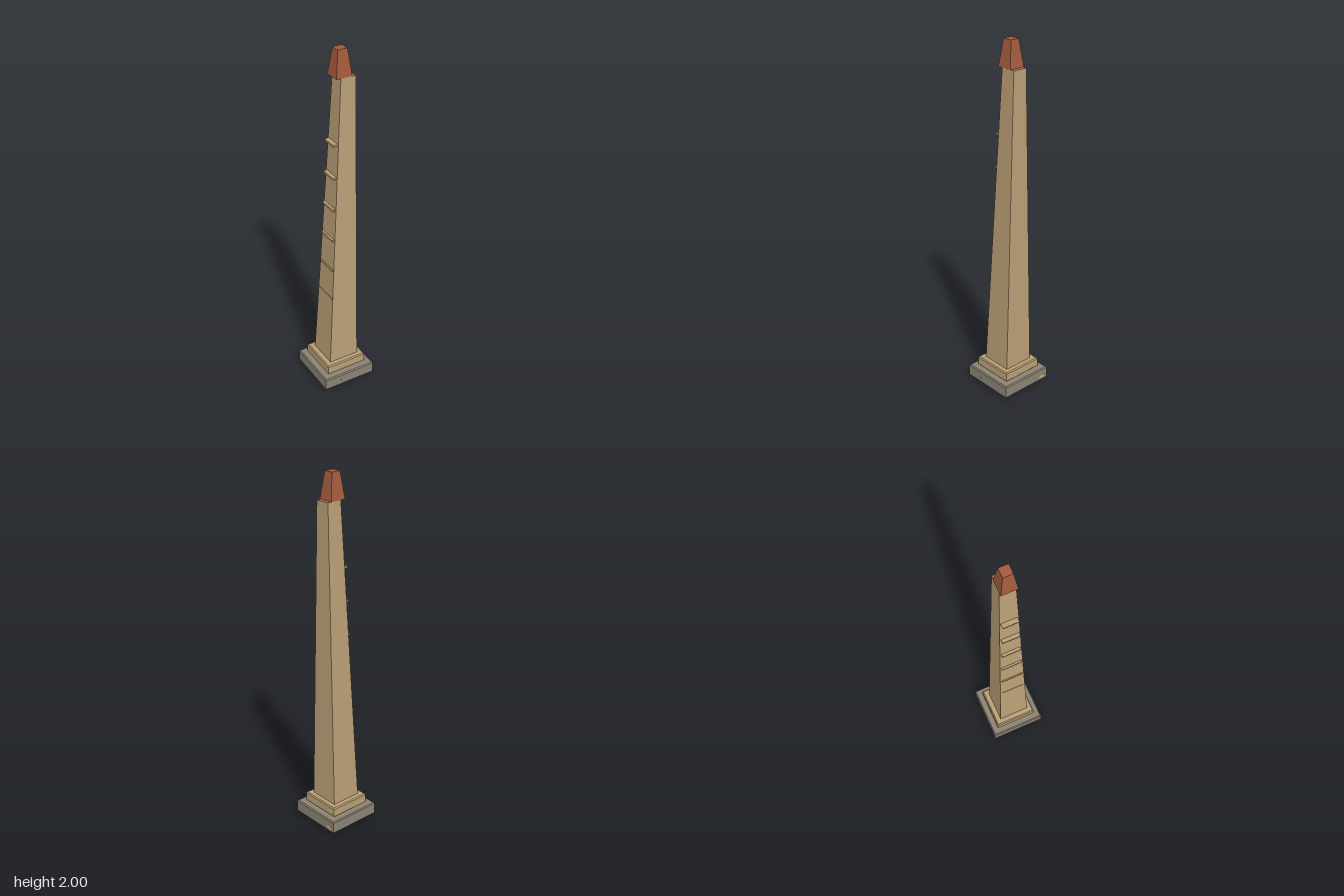
import * as THREE from 'three';

const mat = (name, color) => new THREE.MeshStandardMaterial({ name, color });

// Stack of rectangular rings [y, x0, x1, z0, z1], flat-faced and closed at both ends
function ringSolid(rings) {
  const pos = [];
  const corners = ([y, x0, x1, z0, z1]) => [[x0, y, z1], [x1, y, z1], [x1, y, z0], [x0, y, z0]];
  const quad = (a, b, c, d) => pos.push(...a, ...b, ...c, ...a, ...c, ...d);
  for (let r = 0; r < rings.length - 1; r++) {
    const lo = corners(rings[r]), hi = corners(rings[r + 1]);
    for (let i = 0; i < 4; i++) {
      const j = (i + 1) % 4;
      quad(lo[i], lo[j], hi[j], hi[i]);
    }
  }
  const [a, b, c, d] = corners(rings[0]);
  quad(d, c, b, a);
  const sides = pos.length / 3;
  quad(...corners(rings[rings.length - 1]));
  const geo = new THREE.BufferGeometry();
  geo.setAttribute('position', new THREE.Float32BufferAttribute(pos, 3));
  geo.computeVertexNormals();
  geo.addGroup(0, sides, 0);
  geo.addGroup(sides, 6, 1); // top face
  return geo;
}

// Square block with small chamfers along top and bottom
function slab(y0, y1, lo, hi, c) {
  const ring = (y, s) => [y, lo + s, hi - s, lo + s, hi - s];
  return ringSolid([ring(y0, c), ring(y0 + c, 0), ring(y1 - c, 0), ring(y1, c)]);
}

export function createModel() {
  const group = new THREE.Group();
  const sand = mat('sandstone', 0xb99e75);
  const grey = mat('grey stone', 0x8a8272);
  const red = mat('red clay', 0xa15a3c);
  const salmon = mat('pale clay', 0xaa7156);

  const add = (name, geo, material) => {
    const mesh = new THREE.Mesh(geo, material);
    mesh.name = name;
    group.add(mesh);
    return mesh;
  };

  // Stepped base
  add('footing', slab(0.012, 0.086, -0.16, 0.155, 0.006), [grey, grey]);
  add('plinth', slab(0.086, 0.143, -0.123, 0.118, 0.006), [sand, sand]);

  // Shaft: upright on the left side, leaning in on the other three
  add('shaft', ringSolid([
    [0.14, -0.091, 0.087, -0.09, 0.087],
    [1.856, 0.002, 0.087, -0.044, 0.04],
  ]), [sand, salmon]);

  // Offset cap
  add('cap', ringSolid([
    [1.857, -0.024, 0.066, -0.047, 0.042],
    [2.0, -0.006, 0.048, -0.029, 0.024],
  ]), [red, red]);

  // Ledges climbing the sloping side
  for (let i = 0; i < 6; i++) {
    const outer = -0.069 + i * 0.0053;
    const inner = -0.055 + i * 0.0101;
    const ledge = add('ledge', new THREE.BoxGeometry(inner - outer, 0.011, 0.134 - i * 0.0088), sand);
    ledge.position.set((outer + inner) / 2, 0.57 + i * 0.186, -0.002);
  }

  // Small stone fragments lodged in the footing
  const chip = (x, y, z, w, h, d, material) => {
    const geo = new THREE.DodecahedronGeometry(0.5).scale(w, h, d);
    add('stoneChip', geo, material).position.set(x, y, z);
  };
  chip(0.152, 0.033, -0.122, 0.014, 0.03, 0.055, sand);
  chip(-0.058, 0.045, 0.153, 0.01, 0.04, 0.008, grey);
  chip(-0.06, 0.01, 0.125, 0.06, 0.021, 0.025, sand);
  chip(0.135, 0.012, -0.12, 0.03, 0.01, 0.03, sand);
  return group;
}
